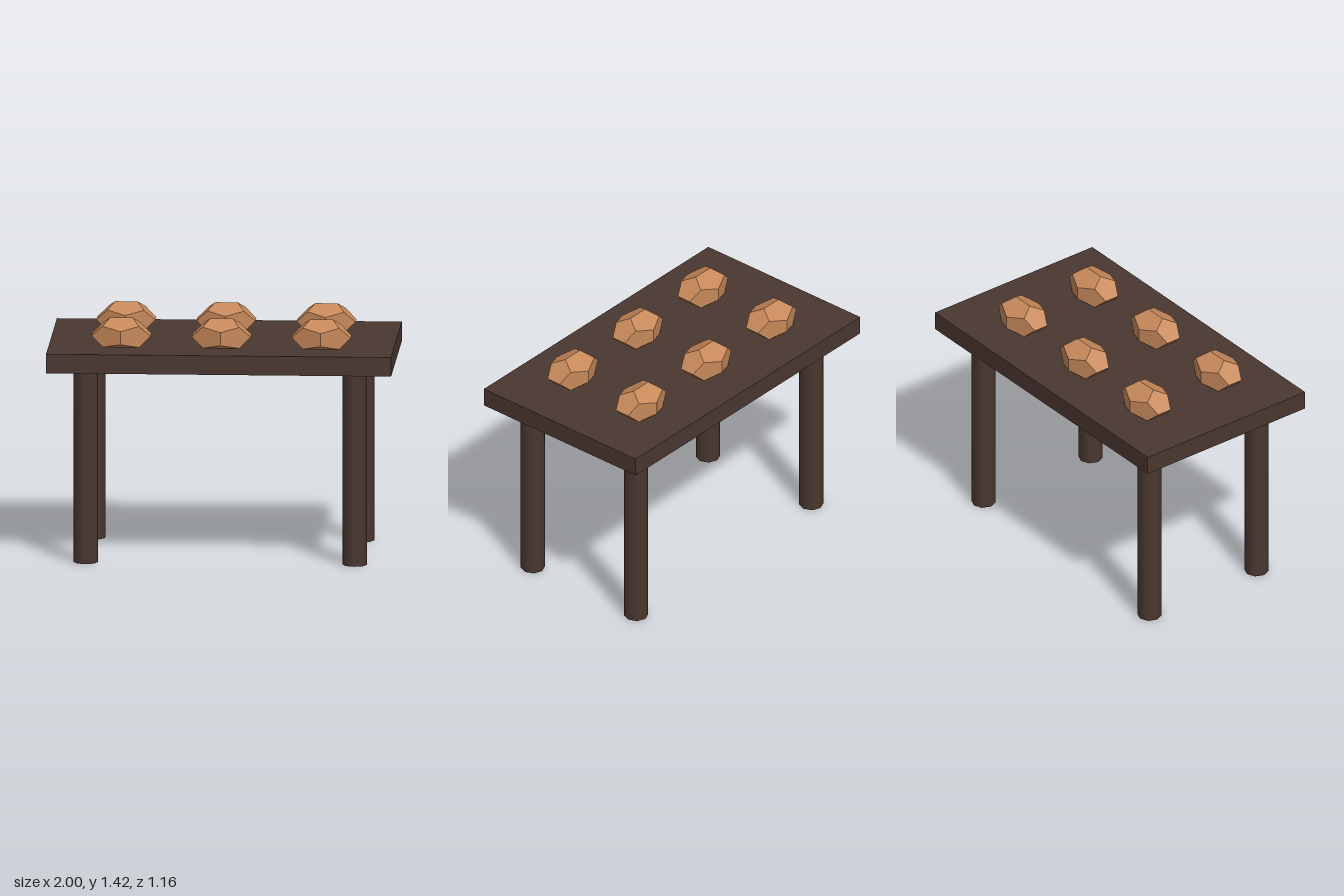
import * as THREE from 'three';

export function createModel() {
  const model = new THREE.Group();
  model.name = 'table';

  const darkWood = new THREE.MeshStandardMaterial({ color: 0x4a3730 });
  darkWood.name = 'dark wood';
  const bread = new THREE.MeshStandardMaterial({ color: 0xc68859, flatShading: true });
  bread.name = 'baked tan';

  function add(name, geometry, material, x, y, z) {
    const mesh = new THREE.Mesh(geometry, material);
    mesh.name = name;
    mesh.position.set(x, y, z);
    model.add(mesh);
    return mesh;
  }

  // Table top
  add('tableTop', new THREE.BoxGeometry(2, 0.112, 1.156), darkWood, 0, 1.198, 0);

  // Four smooth eight-sided legs
  const legGeometry = new THREE.CylinderGeometry(0.0705, 0.0705, 1.142, 8);
  for (const x of [-0.78, 0.78]) {
    for (const z of [-0.393, 0.393]) add('leg', legGeometry, darkWood, x, 0.571, z);
  }

  // Six faceted loaves, sunk slightly into the top
  const loafGeometry = new THREE.DodecahedronGeometry(1).scale(0.183, 0.107, 0.128);
  for (const x of [-0.58, 0, 0.58]) {
    for (const z of [-0.26, 0.26]) add('loaf', loafGeometry, bread, x, 1.316, z);
  }

  return model;
}
